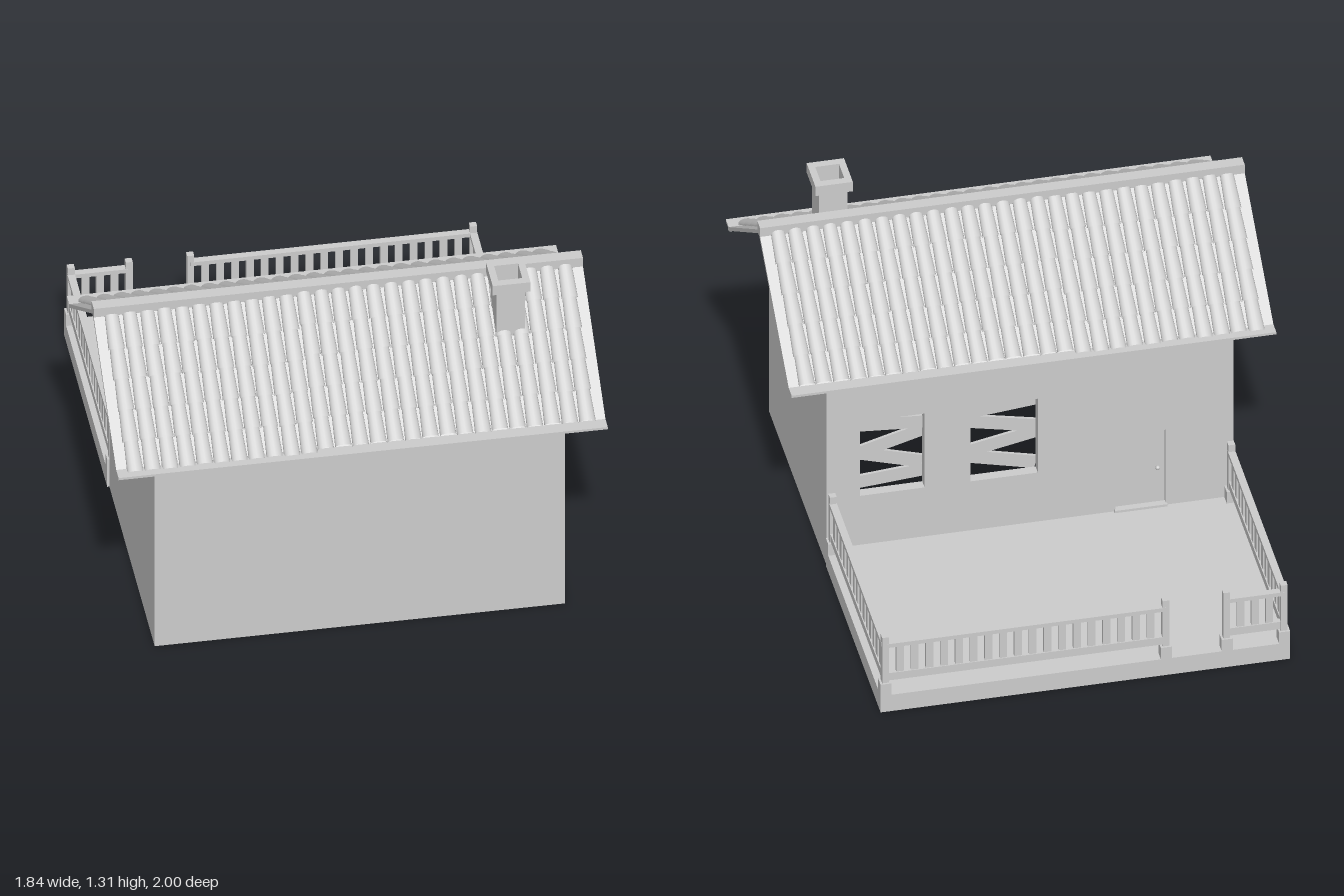
import * as THREE from 'three';
import { mergeGeometries } from 'three/addons/utils/BufferGeometryUtils.js';

export function createModel() {
  const model = new THREE.Group();
  const grey = new THREE.MeshStandardMaterial({ color: 0xcccccc });
  grey.name = 'plainGrey';
  const greyThin = new THREE.MeshStandardMaterial({ color: 0xcccccc, side: THREE.DoubleSide });
  greyThin.name = 'plainGreyThin';

  const add = (name, geo, parent = model, mat = grey) => {
    const mesh = new THREE.Mesh(geo, mat);
    mesh.name = name;
    parent.add(mesh);
    return mesh;
  };
  // Box given by its limits on each axis
  const span = (x0, x1, y0, y1, z0, z1) =>
    new THREE.BoxGeometry(x1 - x0, y1 - y0, z1 - z0)
      .translate((x0 + x1) / 2, (y0 + y1) / 2, (z0 + z1) / 2);
  const rect = (Type, x0, x1, y0, y1) => {
    const p = new Type();
    p.moveTo(x0, y0);
    p.lineTo(x1, y0);
    p.lineTo(x1, y1);
    p.lineTo(x0, y1);
    p.closePath();
    return p;
  };
  let seed = 7;
  const rand = () => (seed = (seed * 16807) % 2147483647) / 2147483647 - 0.5;

  const W = 0.772, BACK = -0.06, FRONT = 0.93, EAVE = 0.85, MID = 0.435;

  // Terrace slab and underside of the house
  add('terrace', span(-0.78, 0.775, 0, 0.075, -1, BACK));
  add('houseBottom', new THREE.PlaneGeometry(2 * W, FRONT - BACK).rotateX(Math.PI / 2)
    .translate(0, 0, MID));

  // Walls
  add('frontWall', new THREE.PlaneGeometry(2 * W, EAVE).translate(0, EAVE / 2, FRONT));
  const gable = new THREE.Shape();
  gable.moveTo(-0.495, 0);
  gable.lineTo(0.495, 0);
  gable.lineTo(0.495, EAVE);
  gable.lineTo(0, 1.197);
  gable.lineTo(-0.495, EAVE);
  for (const s of [-1, 1]) {
    add(s > 0 ? 'leftWall' : 'rightWall',
      new THREE.ShapeGeometry(gable).rotateY(s * Math.PI / 2).translate(s * W, 0, MID));
  }
  const windows = [[0.40, 0.645], [-0.03, 0.225]];
  const wall = rect(THREE.Shape, -W, W, 0, EAVE);
  for (const [a, b] of windows) wall.holes.push(rect(THREE.Path, a, b, 0.30, 0.64));
  wall.holes.push(rect(THREE.Path, -0.515, -0.325, 0.08, 0.42));
  add('backWall', new THREE.ExtrudeGeometry(wall, { depth: 0.04, bevelEnabled: false })
    .translate(0, 0, BACK));

  // Boards nailed across the windows: height, tilt
  const boards = [
    [[0.585, 0.08], [0.50, -0.28], [0.425, 0.3], [0.335, -0.08]],
    [[0.60, -0.1], [0.515, 0.22], [0.43, -0.2], [0.345, 0.25]],
  ];
  windows.forEach(([a, b], i) => {
    boards[i].forEach(([y, tilt], j) => {
      const board = add('windowBoard', new THREE.BoxGeometry((b - a) * 1.06, 0.055, 0.012));
      board.position.set((a + b) / 2, y, BACK + 0.045 + 0.004 * j);
      board.rotation.z = tilt;
    });
  });

  // Door with knob and sill
  add('door', span(-0.515, -0.325, 0.08, 0.42, BACK + 0.015, BACK + 0.035));
  add('doorKnob', new THREE.SphereGeometry(0.009, 10, 8).translate(-0.487, 0.245, BACK + 0.006));
  add('doorSill', span(-0.52, -0.32, 0.07, 0.085, BACK - 0.012, BACK + 0.02));

  // Roof: both slopes are built ridge-first, running down local +z
  const angle = Math.atan(0.698);
  const columns = 27, rows = 5, pitch = 0.0655, rowLength = 0.121;
  for (const s of [1, -1]) {
    const side = new THREE.Group();
    side.name = s > 0 ? 'frontRoof' : 'backRoof';
    side.position.set(0, 0, MID);
    side.rotation.y = s > 0 ? 0 : Math.PI;
    model.add(side);
    add('eaveLip', span(-0.92, 0.92, 0.845, 0.855, 0.5, 0.565), side);

    const slope = new THREE.Group();
    slope.name = 'roofSlope';
    slope.position.y = 1.214;
    slope.rotation.x = angle;
    side.add(slope);
    add('roofBoard', span(-0.92, 0.92, -0.014, 0, 0, 0.645), slope);
    for (const x of [-0.78, 0.78]) {
      add('gableTrim', span(x - 0.01, x + 0.01, -0.034, -0.014, 0.02, 0.6), slope);
    }

    // Overlapping barrel tiles, one half of the roof slightly higher
    const tiles = [];
    for (let c = 0; c < columns; c++) {
      const x = (c - (columns - 1) / 2) * pitch;
      const shift = x > -0.16 ? -0.012 : 0.004;
      for (let r = 0; r < rows; r++) {
        const tile = new THREE.CylinderGeometry(0.031, 0.026, 0.137, 8, 1, true,
          Math.PI / 2, Math.PI);
        tile.rotateX(Math.PI / 2);
        tile.scale(1, 0.62, 1);
        tile.rotateX(-0.03);
        tile.translate(s * x + rand() * 0.003, 0.003,
          0.03 + shift + (r + 0.5) * rowLength + rand() * 0.006);
        tiles.push(tile);
      }
    }
    add('roofTiles', mergeGeometries(tiles), slope, greyThin);
  }
  add('ridgeCap', span(-0.92, 0.92, 1.19, 1.237, MID - 0.024, MID + 0.024));

  // Chimney, open at the top
  const tube = (name, w, d, hole, y0, y1) => {
    const outline = rect(THREE.Shape, -w / 2, w / 2, -d / 2, d / 2);
    outline.holes.push(rect(THREE.Path, -hole / 2, hole / 2, -hole / 2, hole / 2));
    add(name, new THREE.ExtrudeGeometry(outline, { depth: y1 - y0, bevelEnabled: false })
      .rotateX(-Math.PI / 2).translate(0.615, y0, 0.595));
  };
  tube('chimneyStack', 0.108, 0.118, 0.09, 1.02, 1.27);
  tube('chimneyCap', 0.142, 0.152, 0.09, 1.27, 1.313);
  add('chimneyFloor', span(0.57, 0.66, 1.19, 1.2, 0.55, 0.64));

  // Fence: each run lies along local x, with a post on a block at both ends
  const fence = (name, x0, z0, x1, z1) => {
    const run = new THREE.Group();
    run.name = name;
    run.position.set((x0 + x1) / 2, 0, (z0 + z1) / 2);
    run.rotation.y = Math.atan2(z0 - z1, x1 - x0);
    model.add(run);
    const h = Math.hypot(x1 - x0, z1 - z0) / 2;
    for (const e of [-h, h]) {
      add('postBlock', span(e - 0.021, e + 0.021, 0.07, 0.127, -0.021, 0.021), run);
      add('post', span(e - 0.013, e + 0.013, 0.125, 0.335, -0.013, 0.013), run);
    }
    add('topRail', span(-h, h, 0.287, 0.304, -0.014, 0.014), run);
    add('bottomRail', span(-h, h, 0.135, 0.168, -0.011, 0.011), run);
    const n = Math.round(2 * h / 0.057);
    for (let i = 1; i < n; i++) {
      const x = -h + (2 * h * i) / n;
      add('baluster', span(x - 0.014, x + 0.014, 0.165, 0.29, -0.007, 0.007), run);
    }
  };
  const L = 0.754, R = -0.759, B = -0.979;
  fence('leftFence', L, B, L, -0.081);
  fence('rightFence', R, B, R, -0.081);
  fence('backFenceLong', -0.31, B, L, B);
  fence('backFenceShort', R, B, -0.541, B);

  return model;
}
